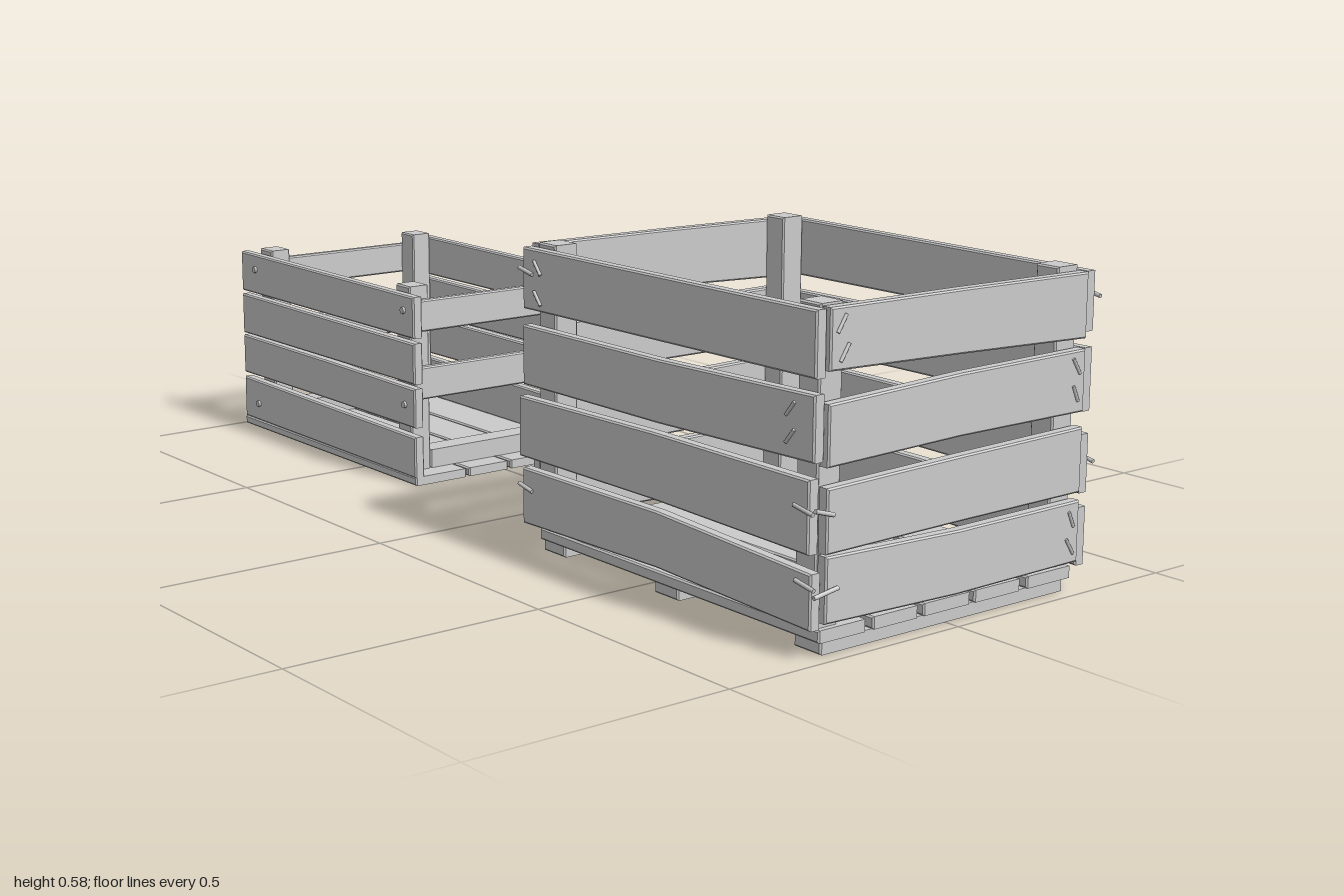
import * as THREE from 'three';

const material = new THREE.MeshStandardMaterial({ color: 0xcccccc });
const BEVEL = 0.003;

// Board running along x with its own bottom/top height at each end, slightly bowed,
// centred on z = 0
function boardGeometry(a, b, [b0, t0], [b1, t1], thick, bow = 0) {
  const e = BEVEL, m = (a + b) / 2;
  const shape = new THREE.Shape([
    [a + e, b0 + e], [m, (b0 + b1) / 2 + e + bow], [b - e, b1 + e],
    [b - e, t1 - e], [m, (t0 + t1) / 2 - e + bow], [a + e, t0 - e],
  ].map(([x, y]) => new THREE.Vector2(x, y)));
  const depth = thick - 2 * e;
  return new THREE.ExtrudeGeometry(shape, {
    depth, bevelEnabled: true, bevelSize: e, bevelThickness: e, bevelSegments: 1,
  }).translate(0, 0, -depth / 2);
}

function add(group, name, geometry) {
  const mesh = new THREE.Mesh(geometry, material);
  mesh.name = name;
  group.add(mesh);
  return mesh;
}

// Board parallel to the front, centred at depth z
function boardX(group, name, a, b, left, right, z, thick, bow) {
  add(group, name, boardGeometry(a, b, left, right, thick, bow)).position.z = z;
}

// Board parallel to the sides, from z = a to z = b, centred at x
function boardZ(group, name, a, b, back, front, x, thick, bow) {
  const mesh = add(group, name, boardGeometry(a, b, back, front, thick, bow));
  mesh.rotation.y = -Math.PI / 2;
  mesh.position.x = x;
}

// Straight-sided bar given by its limits
function bar(group, name, x0, x1, y0, y1, z0, z1) {
  boardX(group, name, x0, x1, [y0, y1], [y0, y1], (z0 + z1) / 2, z1 - z0);
}

// Thin round pin between two points
function pin(group, name, from, to, radius) {
  const p = new THREE.Vector3(...from), q = new THREE.Vector3(...to);
  const mesh = add(group, name, new THREE.CylinderGeometry(radius, radius, p.distanceTo(q), 8));
  mesh.position.copy(p).add(q).multiplyScalar(0.5);
  mesh.quaternion.setFromUnitVectors(new THREE.Vector3(0, 1, 0), q.sub(p).normalize());
}

function largeCrate() {
  const g = new THREE.Group();
  g.name = 'largeCrate';

  // Runners under the floor
  for (const x of [0.255, 0.58, 0.94]) bar(g, 'runner', x - 0.032, x + 0.032, 0.005, 0.028, -0.285, 0.285);

  // Floor slats
  for (const [z0, z1] of [[-0.298, -0.188], [-0.172, -0.06], [-0.05, 0.06], [0.072, 0.175], [0.19, 0.295]]) {
    bar(g, 'floorSlat', 0.225, 0.978, 0.028, 0.05, z0, z1);
  }

  // Corner posts
  for (const x of [0.25, 0.943]) {
    for (const z of [-0.272, 0.27]) bar(g, 'cornerPost', x - 0.025, x + 0.025, 0.05, 0.58, z - 0.025, z + 0.025);
  }

  // Front boards: left end, right end, depth, bow
  const front = [
    [[0.06, 0.165], [0.055, 0.15], 0.31, 0.01],
    [[0.188, 0.3], [0.182, 0.305], 0.317, 0.004],
    [[0.32, 0.43], [0.33, 0.44], 0.308, -0.004],
    [[0.46, 0.572], [0.465, 0.575], 0.307, 0],
  ];
  for (const [l, r, z, bow] of front) boardX(g, 'frontBoard', 0.208, 0.985, l, r, z, 0.023, bow);

  // Back boards
  const back = [
    [[0.058, 0.165], [0.05, 0.155], 0.004],
    [[0.185, 0.295], [0.18, 0.285], 0.003],
    [[0.322, 0.43], [0.325, 0.437], 0],
    [[0.462, 0.572], [0.465, 0.57], 0],
  ];
  for (const [l, r, bow] of back) boardX(g, 'backBoard', 0.208, 0.985, l, r, -0.312, 0.023, bow);

  // Side boards: back end, front end, bow
  const side = [
    [[0.06, 0.17], [0.063, 0.175], -0.005],
    [[0.184, 0.3], [0.178, 0.287], 0.001],
    [[0.327, 0.437], [0.32, 0.423], 0.004],
    [[0.455, 0.57], [0.475, 0.577], 0.001],
  ];
  for (const [b, f, bow] of side) {
    boardZ(g, 'sideBoard', -0.299, 0.294, b, f, 0.98, 0.023, bow);
    boardZ(g, 'sideBoard', -0.299, 0.294, b, f, 0.214, 0.023, bow);
  }

  // Slanted nails lying on the boards
  for (const [z, y, dir] of [[0.272, 0.55, 1], [0.265, 0.503, 1], [-0.275, 0.41, -1], [-0.275, 0.362, -0.7],
    [-0.277, 0.14, -0.7], [-0.275, 0.092, -1]]) {
    for (const x of [0.993, 0.201]) {
      pin(g, 'sideNail', [x, y - 0.014, z + dir * 0.009], [x, y + 0.014, z - dir * 0.009], 0.003);
    }
  }
  for (const [x, y, dir] of [[0.255, 0.54, -1], [0.255, 0.485, -1], [0.93, 0.41, 1], [0.93, 0.365, 1]]) {
    for (const z of [0.321, -0.324]) {
      pin(g, 'endNail', [x - dir * 0.01, y - 0.012, z], [x + dir * 0.01, y + 0.012, z], 0.003);
    }
  }

  // Bent nails sticking out at the corners
  pin(g, 'bentNail', [0.997, 0.115, 0.325], [0.997, 0.123, 0.273], 0.004);
  pin(g, 'bentNail', [0.997, 0.257, 0.325], [0.997, 0.245, 0.285], 0.004);
  for (const [x0, x1, y, z] of [[0.2, 0.24, 0.53, 0.32], [0.2, 0.24, 0.13, 0.323], [0.95, 0.995, 0.255, 0.328],
    [0.95, 0.995, 0.13, 0.323], [0.2, 0.235, 0.24, -0.325], [0.955, 0.995, 0.24, -0.325], [0.955, 0.995, 0.53, -0.325]]) {
    pin(g, 'bentNail', [x0, y + 0.004, z], [x1, y - 0.004, z], 0.004);
  }
  return g;
}

function smallCrate() {
  const g = new THREE.Group();
  g.name = 'smallCrate';

  // Floor slats
  for (const [z0, z1] of [[-0.225, -0.118], [-0.112, -0.013], [-0.007, 0.092], [0.098, 0.222]]) {
    bar(g, 'floorSlat', -0.995, -0.3, 0.004, 0.022, z0, z1);
  }

  // Each end: corner posts, floor cleat and two outer slats
  for (const s of [-1, 1]) {
    const x = -0.648 + s * 0.275;
    for (const z of [-0.192, 0.177]) bar(g, 'cornerPost', x - 0.025, x + 0.025, 0.022, 0.405, z - 0.023, z + 0.023);
    bar(g, 'floorCleat', x - 0.025, x + 0.025, 0.022, 0.06, -0.169, 0.154);
    for (const [y0, y1] of [[0.313, 0.378], [0.173, 0.24]]) {
      boardZ(g, 'endSlat', -0.213, 0.2, [y0, y1], [y0, y1], x + s * 0.034, 0.018);
    }
  }

  // Front and back boards
  const rows = [
    [[0.022, 0.112], [0.02, 0.105], 0],
    [[0.122, 0.207], [0.124, 0.205], 0.001],
    [[0.212, 0.3], [0.214, 0.298], 0],
    [[0.308, 0.395], [0.308, 0.393], 0],
  ];
  for (const [l, r, bow] of rows) {
    boardX(g, 'frontBoard', -0.992, -0.3, l, r, 0.212, 0.022, bow);
    boardX(g, 'backBoard', -0.992, -0.3, l, r, -0.227, 0.022, bow);
  }

  // Round nail heads
  for (const [x, y] of [[-0.93, 0.362], [-0.335, 0.362], [-0.335, 0.168], [-0.93, 0.06]]) {
    pin(g, 'nailHead', [x, y, 0.218], [x, y, 0.228], 0.007);
    pin(g, 'nailHead', [x, y, -0.233], [x, y, -0.243], 0.007);
  }
  return g;
}

export function createModel() {
  const model = new THREE.Group();
  model.name = 'woodenCrates';
  model.add(largeCrate(), smallCrate());
  return model;
}
